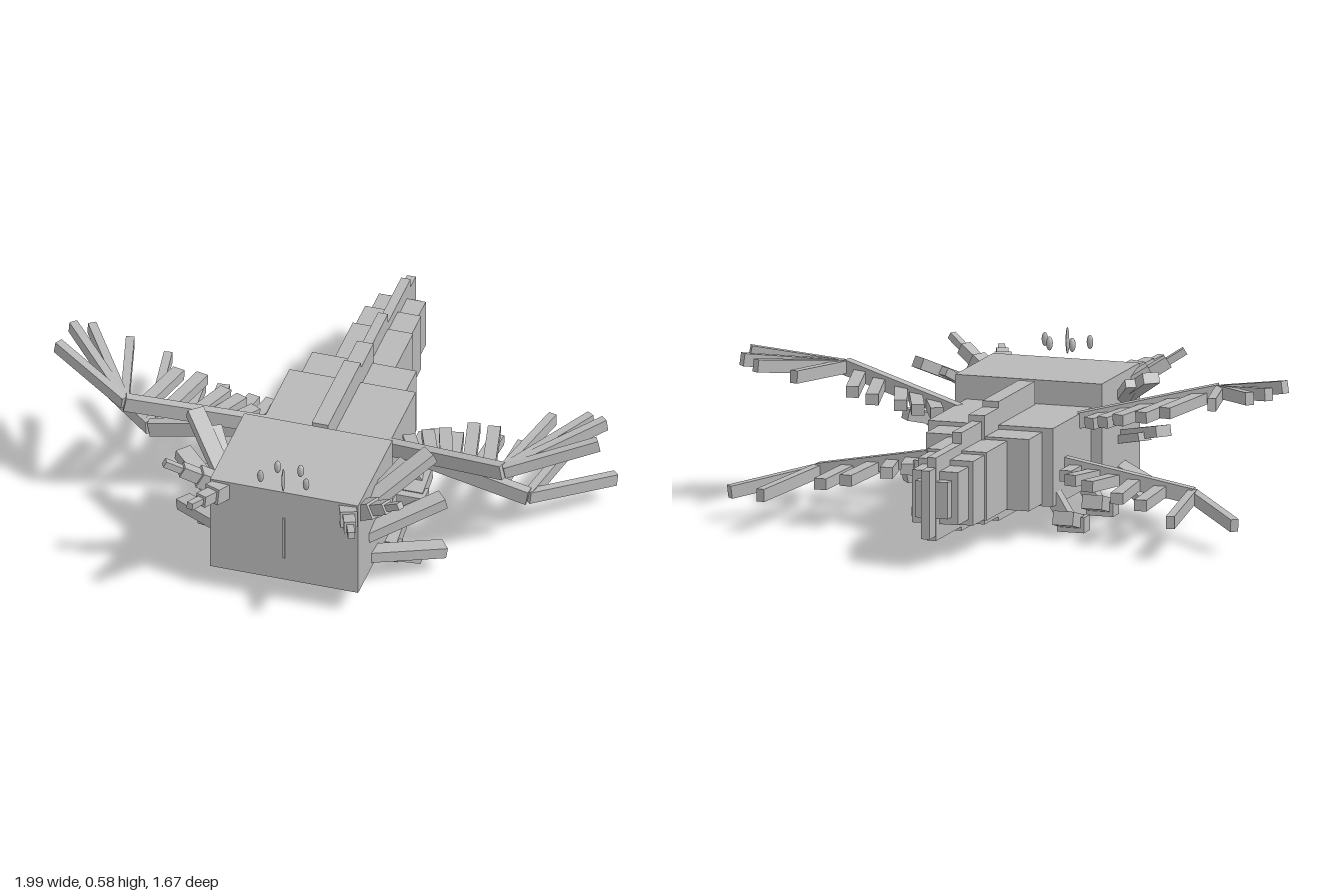
import * as THREE from 'three';

export function createModel() {
  const model = new THREE.Group();
  const grey = new THREE.MeshStandardMaterial({ color: 0xb8b8b8 });
  grey.name = 'plain grey';

  const add = (name, geo, parent = model) => {
    const mesh = new THREE.Mesh(geo, grey);
    mesh.name = name;
    parent.add(mesh);
    return mesh;
  };
  // Block given by half width and its y and z ranges, at sideways offset x
  const block = (name, hw, y0, y1, z0, z1, x = 0, parent = model) => {
    const mesh = add(name, new THREE.BoxGeometry(hw * 2, y1 - y0, z1 - z0), parent);
    mesh.position.set(x, (y0 + y1) / 2, (z0 + z1) / 2);
    return mesh;
  };
  // Square-cut bar running from point a to point b
  const bar = (name, a, b, w, h, parent) => {
    const from = new THREE.Vector3(...a), to = new THREE.Vector3(...b);
    const mesh = add(name, new THREE.BoxGeometry(w, h, from.distanceTo(to)), parent);
    mesh.position.copy(from).lerp(to, 0.5);
    const m = new THREE.Matrix4().lookAt(to, from, new THREE.Vector3(0, 1, 0));
    mesh.quaternion.setFromRotationMatrix(m);
    return mesh;
  };

  block('head', 0.27, 0.095, 0.47, 0.265, 0.67);
  block('noseLine', 0.004, 0.19, 0.36, 0.669, 0.675);

  // Body and tail: half width, bottom, top, back z, front z
  [
    [0.23, 0.107, 0.385, -0.14, 0.27],
    [0.19, 0.115, 0.37, -0.28, -0.14],
    [0.11, 0.118, 0.36, -0.5, -0.28],
    [0.102, 0.122, 0.35, -0.62, -0.5],
    [0.085, 0.143, 0.33, -0.73, -0.62],
    [0.06, 0.17, 0.3, -0.77, -0.73],
  ].forEach((s, i) => block(i < 2 ? 'body' : 'tail', ...s));

  // Stepped keel showing above and below the body
  [
    [0.03, 0.045, 0.468, -0.14, 0.245],
    [0.03, 0.06, 0.446, -0.29, -0.14],
    [0.018, 0.076, 0.424, -0.5, -0.29],
    [0.017, 0.09, 0.385, -0.77, -0.5],
    [0.016, 0.107, 0.35, -0.835, -0.77],
  ].forEach(s => block('keel', ...s));

  // Small beads hovering above the head
  const bead = (x, y, z, rx, ry, rz) => {
    const mesh = add('crownBead', new THREE.SphereGeometry(1, 12, 8));
    mesh.scale.set(rx, ry, rz);
    mesh.position.set(x, y, z);
  };
  bead(0, 0.53, 0.68, 0.006, 0.048, 0.01);

  for (const s of [1, -1]) {
    const side = new THREE.Group();
    side.name = s > 0 ? 'leftSide' : 'rightSide';
    model.add(side);
    const sideBar = (name, a, b, w, h) =>
      bar(name, [a[0] * s, a[1], a[2]], [b[0] * s, b[1], b[2]], w, h, side);

    bead(s * 0.042, 0.53, 0.61, 0.012, 0.025, 0.012);
    bead(s * 0.083, 0.53, 0.68, 0.012, 0.025, 0.008);

    // Horns that thin out in three steps
    for (const [a, b] of [
      [[0.22, 0.425, 0.64], [0.295, 0.46, 0.83]],
      [[0.25, 0.4, 0.6], [0.43, 0.52, 0.69]],
    ]) {
      const at = t => a.map((v, i) => v + (b[i] - v) * t);
      [[0, 0.4, 0.06], [0.4, 0.7, 0.042], [0.7, 1, 0.025]]
        .forEach(([t0, t1, w]) => sideBar('horn', at(t0), at(t1), w, w));
    }

    // Cheek gills, each a long bar with a shorter one beneath
    for (const [a, b] of [
      [[0.25, 0.37, 0.54], [0.43, 0.49, 0.33]],
      [[0.25, 0.24, 0.52], [0.475, 0.305, 0.33]],
      [[0.25, 0.135, 0.49], [0.475, 0.085, 0.32]],
    ]) {
      sideBar('gill', a, b, 0.06, 0.04);
      sideBar('gillUnderside', [a[0], a[1] - 0.01, a[2] - 0.03],
        [b[0] - 0.08, b[1] - 0.03, b[2] + 0.03], 0.05, 0.03);
    }

    // Legs with a flat toe block
    for (const z of [0, -0.31]) {
      sideBar('thigh', [0.21, 0.14, 0.23 + z], [0.265, 0.05, 0.23 + z], 0.05, 0.05);
      sideBar('shin', [0.26, 0.065, 0.19 + z], [0.26, 0.035, 0.3 + z], 0.075, 0.05);
      block('toes', 0.05, 0, 0.055, 0.27 + z, 0.335 + z, s * 0.26, side);
    }

    // Wings: every bar lies on one sloping plane, y depending on x only
    const wing = (name, slopeY, root, elbow, fingers, feathers) => {
      const at = ([x, z], dy = 0) => [x, slopeY(x) + dy, z];
      sideBar(name + 'Arm', at(root), at(elbow), 0.035, 0.055);
      fingers.forEach(f => sideBar(name + 'Finger', at(elbow), at(f), 0.03, 0.045));
      feathers.forEach(([x0, x1, z1]) => {
        const t = (x0 - root[0]) / (elbow[0] - root[0]);
        const z0 = root[1] + (elbow[1] - root[1]) * t;
        sideBar(name + 'Feather', at([x0, z0], -0.01), at([x1, z1], -0.01), 0.045, 0.04);
      });
    };
    wing('frontWing', x => 0.37 + 0.22 * (x - 0.27), [0.22, 0.16], [0.69, 0.315],
      [[0.985, 0.15], [0.97, 0.02], [0.91, -0.01], [0.77, -0.01]],
      [[0.63, 0.575, 0.05], [0.55, 0.495, 0.03], [0.46, 0.4, 0.06], [0.4, 0.34, 0.07], [0.33, 0.28, 0.1]]);
    wing('rearWing', x => 0.225 - 0.185 * (x - 0.27), [0.21, 0], [0.69, 0.02],
      [[0.93, -0.23], [0.755, -0.41]],
      [[0.575, 0.59, -0.25], [0.48, 0.5, -0.24], [0.41, 0.37, -0.18], [0.34, 0.3, -0.16], [0.27, 0.27, -0.12]]);
  }
  return model;
}
